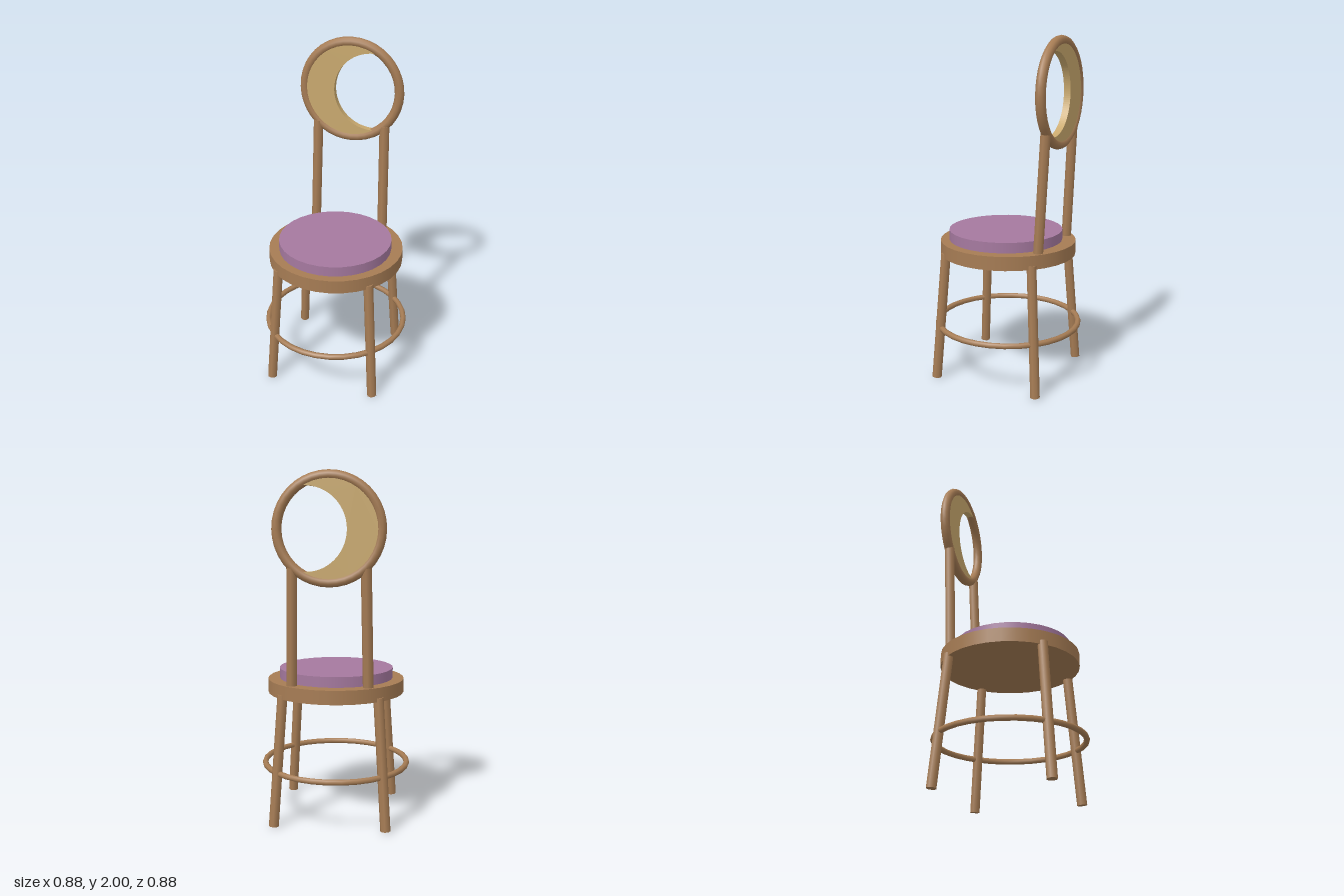
import * as THREE from 'three';

const wood = new THREE.MeshStandardMaterial({ color: 0xa67c54 });
wood.name = 'wood';
const fabric = new THREE.MeshStandardMaterial({ color: 0xa5799f });
fabric.name = 'mauve fabric';
const gold = new THREE.MeshStandardMaterial({ color: 0xc9a96e });
gold.name = 'pale gold';

export function createModel() {
  const group = new THREE.Group();
  group.name = 'chair';

  const add = (name, geometry, material, x = 0, y = 0, z = 0) => {
    const mesh = new THREE.Mesh(geometry, material);
    mesh.name = name;
    mesh.position.set(x, y, z);
    group.add(mesh);
    return mesh;
  };

  // Round rod between two points
  const rod = (name, from, to, radius) => {
    const a = new THREE.Vector3(...from);
    const b = new THREE.Vector3(...to);
    const dir = b.clone().sub(a);
    const mesh = add(name, new THREE.CylinderGeometry(radius, radius, dir.length(), 8), wood);
    mesh.position.copy(a).add(b).multiplyScalar(0.5);
    mesh.quaternion.setFromUnitVectors(new THREE.Vector3(0, 1, 0), dir.normalize());
  };

  // Seat and cushion
  add('seat', new THREE.CylinderGeometry(0.4, 0.4, 0.08, 32), wood, 0, 0.78, 0);
  add('cushion', new THREE.CylinderGeometry(0.335, 0.335, 0.07, 32), fabric, 0, 0.845, 0.015);

  // Splayed legs and back posts
  for (const [side, sx] of [['left', 1], ['right', -1]]) {
    for (const [end, sz] of [['front', 1], ['back', -1]]) {
      rod(`${side} ${end} leg`, [sx * 0.32, 0.003, sz * 0.32], [sx * 0.271, 0.76, sz * 0.271], 0.029);
    }
    rod(`${side} back post`, [sx * 0.215, 0.815, -0.286], [sx * 0.203, 1.484, -0.318], 0.03);
  }

  // Foot ring around the legs
  const footRing = add('foot ring', new THREE.TorusGeometry(0.423, 0.017, 8, 32), wood, 0, 0.31, 0);
  footRing.rotation.x = Math.PI / 2;

  // Round back frame
  const backY = 1.687, backZ = -0.321;
  add('back frame', new THREE.TorusGeometry(0.285, 0.028, 10, 40), wood, 0, backY, backZ);

  // Crescent: an outer arc closed by the arc of an offset circle
  const R = 0.272, r = 0.23, cx = 0.13, depth = 0.04;
  const tipX = (R * R - r * r + cx * cx) / (2 * cx);
  const tipY = Math.sqrt(R * R - tipX * tipX);
  const outer = Math.atan2(tipY, tipX);
  const inner = Math.atan2(tipY, tipX - cx);
  const crescent = new THREE.Shape();
  crescent.absarc(0, 0, R, outer, 2 * Math.PI - outer, false);
  crescent.absarc(cx, 0, r, 2 * Math.PI - inner, inner, true);
  const crescentGeometry = new THREE.ExtrudeGeometry(crescent, {
    depth, bevelEnabled: false, curveSegments: 32,
  });
  add('crescent inlay', crescentGeometry, gold, 0, backY, backZ - depth / 2);

  return group;
}
